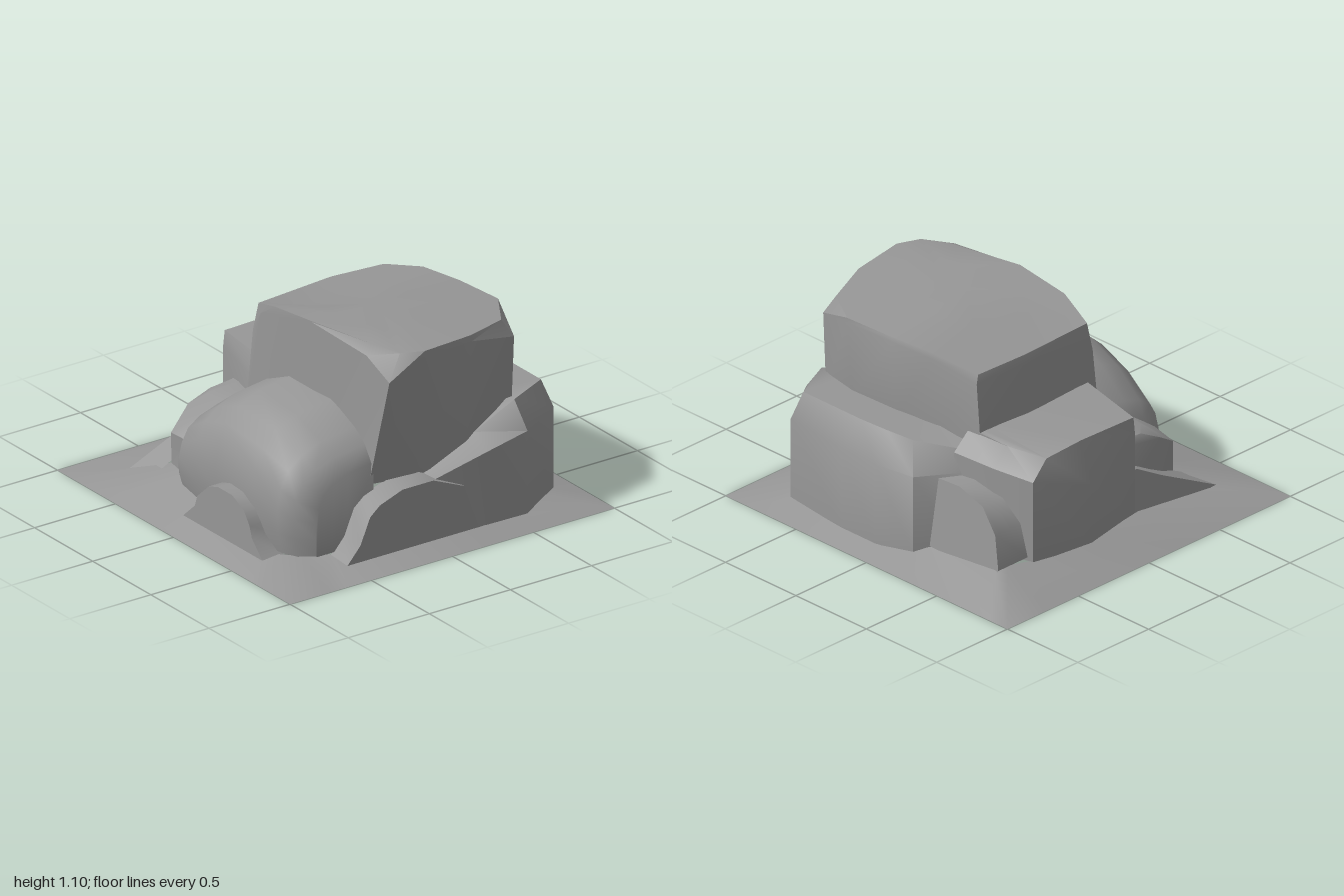
import * as THREE from 'three';
import { toCreasedNormals } from 'three/addons/utils/BufferGeometryUtils.js';

const material = new THREE.MeshStandardMaterial({ color: 0x979797, side: THREE.DoubleSide });

// Skin a surface through sections that all have the same number of [x, y, z] points.
function loft(name, sections, { closed = false, flip = false, crease = 0.6 } = {}) {
  const v = [];
  const tri = (a, b, c) => {
    const [A, B, C] = (flip ? [a, c, b] : [a, b, c]).map(p => new THREE.Vector3(...p));
    const area = B.clone().sub(A).cross(C.clone().sub(A)).length();
    if (area > 1e-6) v.push(...A.toArray(), ...B.toArray(), ...C.toArray());
  };
  for (let i = 0; i < sections.length - 1; i++) {
    const s = sections[i], t = sections[i + 1], n = s.length;
    for (let j = 0; j < (closed ? n : n - 1); j++) {
      const k = (j + 1) % n;
      tri(s[j], s[k], t[k]);
      tri(s[j], t[k], t[j]);
    }
  }
  const geo = new THREE.BufferGeometry();
  geo.setAttribute('position', new THREE.Float32BufferAttribute(v, 3));
  const mesh = new THREE.Mesh(toCreasedNormals(geo, crease), material);
  mesh.name = name;
  return mesh;
}

const atHeight = (ring, y) => ring.map(p => [p[0], y, p[2]]);

// Half-round slab: an upright or leaning face at depth "outer", its rim running back to "inner".
function archSlab(name, profile, inner, outer, base, lean, turn) {
  const foot = profile.map(([u]) => [u, base, outer]);
  const face = profile.map(([u, y]) => [u, y, outer - lean * (y - base)]);
  const back = profile.map(([u, y]) => [u, y, inner]);
  const mesh = loft(name, [foot, face, back]);
  mesh.rotation.y = turn;
  return mesh;
}

// Sloping ground from the square rim up to the foot of the rocks.
function ground() {
  const foot = [
    [0.69, 0.07, 0.69], [0.58, 0.06, 0.77], [0.58, 0.05, 0.87], [-0.1, 0.05, 0.87],
    [-0.1, 0.08, 0.74], [-0.4, 0.11, 0.66], [-0.54, 0.11, 0.61], [-0.72, 0.05, 0.72],
    [-0.72, 0.11, 0.2], [-0.79, 0.12, -0.2], [-0.71, 0.1, -0.52], [-0.68, 0.12, -0.68],
    [-0.66, 0.12, -0.75], [-0.22, 0.08, -0.75], [-0.15, 0.06, -0.82], [0.06, 0.04, -0.87],
    [0.3, 0.04, -0.87], [0.69, 0.05, -0.83], [0.75, 0.05, -0.75], [0.87, 0.05, -0.54],
    [0.88, 0.05, -0.25], [0.88, 0.05, 0.56], [0.73, 0.06, 0.56],
  ];
  const rim = foot.map(([x, , z]) => {
    const k = Math.max(Math.abs(x), Math.abs(z));
    return [x / k, 0, z / k];
  });
  return loft('ground', [rim, foot], { closed: true, flip: true });
}

// Tall block with a gently domed roof.
function tallRock() {
  const base = [
    [-0.34, 0.42, 0.31], [0, 0.42, 0.325], [0.3, 0.42, 0.325], [0.55, 0.4, 0.325],
    [0.73, 0.38, 0.32], [0.75, 0.36, 0.05], [0.77, 0.4, -0.25], [0.74, 0.55, -0.55],
    [0.5, 0.6, -0.6], [0.2, 0.6, -0.59], [-0.05, 0.6, -0.56], [-0.33, 0.58, -0.52],
    [-0.36, 0.5, -0.2],
  ];
  const shoulder = [
    [-0.31, 0.84, 0.29], [-0.2, 0.98, 0.32], [0.24, 1.095, 0.325], [0.68, 1.065, 0.3],
    [0.85, 0.97, 0.28], [0.85, 1.06, 0.06], [0.82, 1.05, -0.25], [0.75, 0.97, -0.56],
    [0.5, 1.04, -0.64], [0.2, 1.04, -0.63], [-0.05, 1.02, -0.59], [-0.31, 0.95, -0.53],
    [-0.33, 0.95, -0.2],
  ];
  const roof = [
    [-0.29, 0.99, 0.27], [-0.08, 1.06, 0.32], [0.24, 1.1, 0.325], [0.64, 1.1, 0.24],
    [0.8, 1.09, 0.18], [0.85, 1.09, 0.06], [0.81, 1.08, -0.25], [0.71, 1.06, -0.51],
    [0.5, 1.065, -0.64], [0.2, 1.06, -0.62], [-0.06, 1.05, -0.58], [-0.3, 0.995, -0.51],
    [-0.32, 1.0, -0.2],
  ];
  const inner = roof.map(([x, y, z]) => [0.25 + (x - 0.25) * 0.5, 0.5 * y + 0.55, z * 0.5]);
  const peak = roof.map(() => [0.25, 1.1, -0.05]);
  return loft('tallRock', [base, shoulder, roof, inner, peak], { closed: true });
}

// Rounded hood-like rock: one z-y profile scaled along x.
function frontRock() {
  const profile = [[0, 1], [0.45, 0.95], [0.7, 0.87], [0.87, 0.76], [0.96, 0.6], [1, 0.42], [0.99, 0.2], [0.94, 0]];
  const stations = [ // x, top, front
    [-0.45, 0.18, 0.64], [-0.38, 0.42, 0.7], [-0.33, 0.5, 0.73], [-0.15, 0.64, 0.76],
    [0.05, 0.73, 0.78], [0.4, 0.73, 0.81], [0.6, 0.65, 0.79], [0.68, 0.58, 0.75],
    [0.74, 0.5, 0.65],
  ];
  const sections = stations.map(([x, top, front]) =>
    profile.map(([f, h]) => [x, 0.07 + (top - 0.07) * h, 0.3 + (front - 0.3) * f]));
  const ends = [sections[0], sections.at(-1)].map(s => atHeight(s, 0.07));
  return loft('frontRock', [ends[0], ...sections, ends[1]], { crease: 0.75 });
}

// Low rock wrapping the back and one side of the tall block.
function backRock() {
  const wall = [
    [-0.3, 0.48, -0.62], [-0.16, 0.48, -0.83], [0.06, 0.49, -0.88], [0.3, 0.49, -0.88],
    [0.7, 0.49, -0.84], [0.88, 0.5, -0.55], [0.88, 0.45, -0.3], [0.84, 0.36, 0],
  ];
  const edge = [
    [-0.29, 0.59, -0.58], [-0.08, 0.63, -0.75], [0.08, 0.64, -0.78], [0.25, 0.64, -0.79],
    [0.66, 0.64, -0.79], [0.78, 0.64, -0.54], [0.77, 0.52, -0.3], [0.74, 0.37, 0],
  ];
  const inside = [
    [-0.28, 0.61, -0.5], [-0.08, 0.64, -0.5], [0.08, 0.64, -0.5], [0.25, 0.64, -0.5],
    [0.62, 0.64, -0.5], [0.71, 0.64, -0.48], [0.71, 0.53, -0.3], [0.7, 0.38, 0],
  ];
  return loft('backRock', [atHeight(wall, 0.04), wall, edge, inside], { flip: true, crease: 0.7 });
}

// Block beside the tall rock, bulging at mid height.
function sideRock() {
  const wall = [
    [-0.28, 0.57, 0.29], [-0.72, 0.57, 0.18], [-0.8, 0.44, -0.2],
    [-0.72, 0.55, -0.54], [-0.5, 0.57, -0.6], [-0.25, 0.58, -0.63],
  ];
  const edge = [
    [-0.28, 0.68, 0.25], [-0.72, 0.655, 0.17], [-0.72, 0.665, -0.2],
    [-0.715, 0.65, -0.44], [-0.5, 0.66, -0.5], [-0.25, 0.67, -0.53],
  ];
  const inside = edge.map(([, , z]) => [-0.25, 0.685, z]);
  return loft('sideRock', [atHeight(wall, 0.1), wall, edge, inside], { flip: true, crease: 0.75 });
}

// Small stone tucked into the front corner.
function smallRock() {
  const foot = [[-0.6, 0.1, 0.22], [-0.6, 0.1, 0.5], [-0.55, 0.1, 0.62], [-0.42, 0.1, 0.65], [-0.3, 0.1, 0.58]];
  const waist = [[-0.6, 0.42, 0.22], [-0.6, 0.38, 0.48], [-0.54, 0.28, 0.63], [-0.38, 0.3, 0.65], [-0.28, 0.3, 0.58]];
  const top = [[-0.59, 0.44, 0.22], [-0.58, 0.44, 0.36], [-0.52, 0.45, 0.42], [-0.4, 0.45, 0.44], [-0.3, 0.42, 0.42]];
  const inside = top.map(([x, y]) => [x, y + 0.015, 0.21]);
  return loft('smallRock', [foot, waist, top, inside], { flip: true, crease: 0.75 });
}

export function createModel() {
  const model = new THREE.Group();
  model.name = 'rockCluster';
  model.add(ground(), tallRock(), frontRock(), backRock(), sideRock(), smallRock());
  // Arched slabs, one at the foot of each side
  model.add(
    archSlab('frontArch', [[-0.1, 0.05], [0, 0.14], [0.02, 0.2], [0.12, 0.29], [0.2, 0.315],
      [0.32, 0.315], [0.42, 0.27], [0.47, 0.2], [0.49, 0.14], [0.58, 0.05]], 0.74, 0.87, 0.05, 0, 0),
    archSlab('leftArch', [[-0.56, 0.05], [-0.48, 0.14], [-0.42, 0.28], [-0.36, 0.33], [-0.22, 0.38],
      [-0.03, 0.38], [0.16, 0.3], [0.25, 0.05]], 0.73, 0.88, 0.05, 0, Math.PI / 2),
    archSlab('backArch', [[0.2, 0.46], [0.38, 0.47], [0.55, 0.42], [0.65, 0.3], [0.69, 0.12]],
      0.54, 0.76, 0.08, 0.1, Math.PI),
    archSlab('rightArch', [[0.14, 0.34], [0.24, 0.32], [0.4, 0.23], [0.6, 0.13], [0.78, 0.04]],
      0.55, 0.72, 0.04, 0.15, -Math.PI / 2),
  );
  return model;
}
